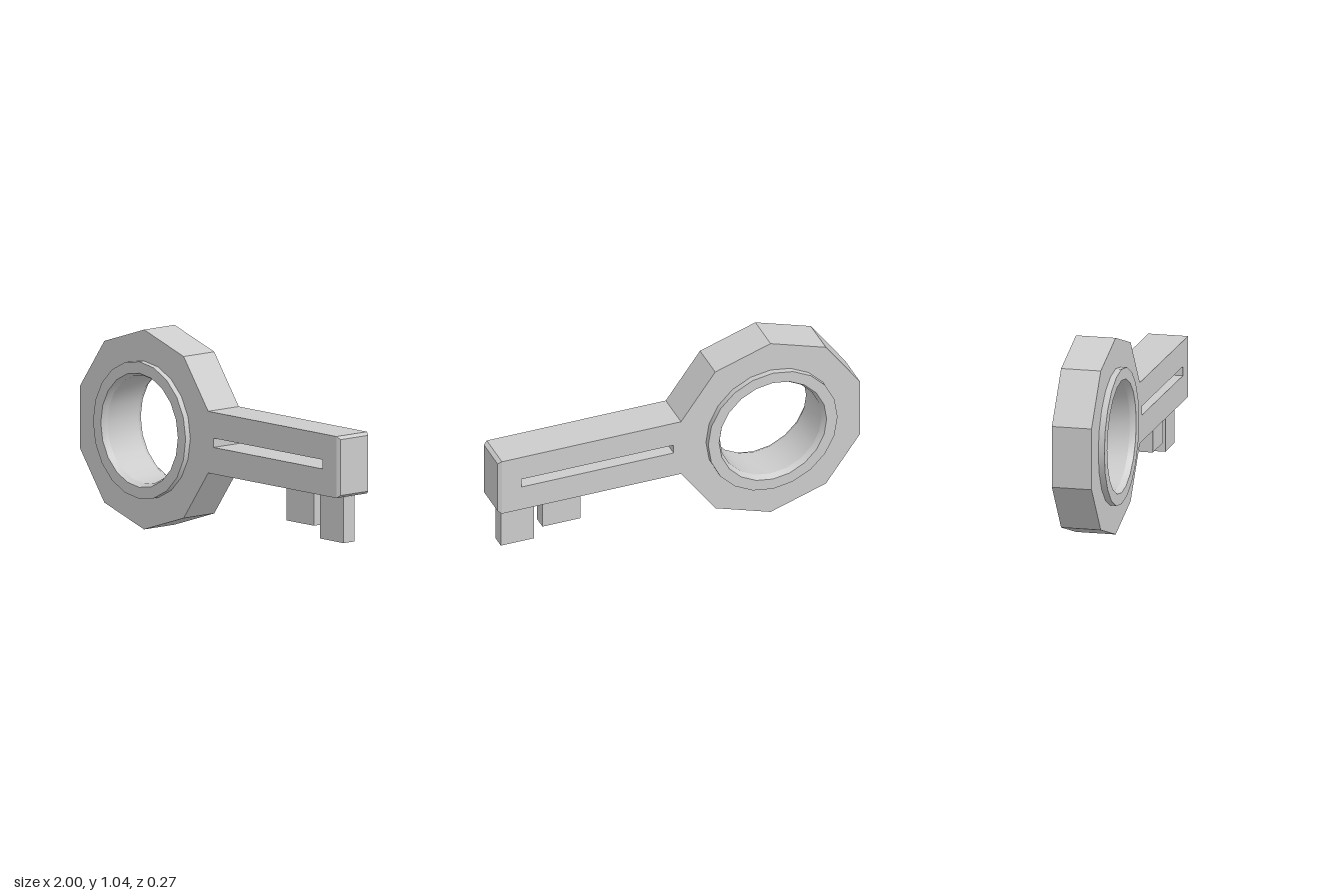
import * as THREE from 'three';
import { toCreasedNormals } from 'three/addons/utils/BufferGeometryUtils.js';

const CX = -0.505, CY = 0.522;          // centre of the bow
const DEPTH = 0.105;                    // half thickness of the body
const SHAFT = { end: 0.978, top: 0.683, bottom: 0.362 };

// Regular polygon with a corner pointing straight up
function polygon(radius, sides, startAngle = Math.PI / 2) {
  return Array.from({ length: sides }, (_, i) => {
    const a = startAngle + (i / sides) * Math.PI * 2;
    return new THREE.Vector2(CX + radius * Math.cos(a), CY + radius * Math.sin(a));
  });
}

export function createModel() {
  const group = new THREE.Group();
  const material = new THREE.MeshStandardMaterial({ color: 0xcccccc });
  const flat = new THREE.MeshStandardMaterial({ color: 0xcccccc, flatShading: true });
  const add = (name, geometry, mat = flat) => {
    const mesh = new THREE.Mesh(geometry, mat);
    mesh.name = name;
    group.add(mesh);
    return mesh;
  };

  // Ten-sided bow and straight shaft in one outline, starting at the upper shaft joint
  const outline = polygon(0.52, 10, Math.PI / 10);
  outline.push(new THREE.Vector2(SHAFT.end, SHAFT.bottom), new THREE.Vector2(SHAFT.end, SHAFT.top));
  const body = new THREE.Shape(outline);
  body.holes.push(new THREE.Path(polygon(0.352, 20)));
  body.holes.push(new THREE.Path([[0.03, 0.5], [0.03, 0.548], [0.87, 0.548], [0.87, 0.5]]
    .map(([x, y]) => new THREE.Vector2(x, y))));
  const bodyGeometry = new THREE.ExtrudeGeometry(body, { depth: DEPTH * 2, bevelEnabled: false });
  add('bowAndShaft', bodyGeometry.translate(0, 0, -DEPTH));

  // Chamfered tip: a thin box whose outer face is shrunk
  const height = SHAFT.top - SHAFT.bottom, tipLength = 0.02;
  const tip = new THREE.BoxGeometry(tipLength, height, DEPTH * 2);
  const p = tip.attributes.position;
  for (let i = 0; i < p.count; i++) {
    if (p.getX(i) > 0) {
      p.setY(i, p.getY(i) - Math.sign(p.getY(i)) * 0.015);
      p.setZ(i, p.getZ(i) - Math.sign(p.getZ(i)) * 0.01);
    }
  }
  add('shaftTip', tip).position.set(SHAFT.end + tipLength / 2, SHAFT.bottom + height / 2, 0);

  // Raised collar lining the hole, chamfered on both inner rims
  const profile = [
    [0.357, -0.137], [0.357, 0.137], [0.297, 0.137], [0.281, 0.107],
    [0.281, -0.107], [0.297, -0.137], [0.357, -0.137],
  ].map(([r, y]) => new THREE.Vector2(r, y));
  const collar = new THREE.LatheGeometry(profile, 20).rotateX(Math.PI / 2);
  add('collar', toCreasedNormals(collar, 0.4), material).position.set(CX, CY, 0);

  // Two teeth under the shaft: left edge, right edge, lower edge
  [[0.517, 0.727, 0.177], [0.775, 0.957, 0.117]].forEach(([x0, x1, y0], i) => {
    const top = SHAFT.bottom + 0.02;
    add(`tooth${i + 1}`, new THREE.BoxGeometry(x1 - x0, top - y0, 0.074))
      .position.set((x0 + x1) / 2, (top + y0) / 2, 0);
  });

  return group;
}
